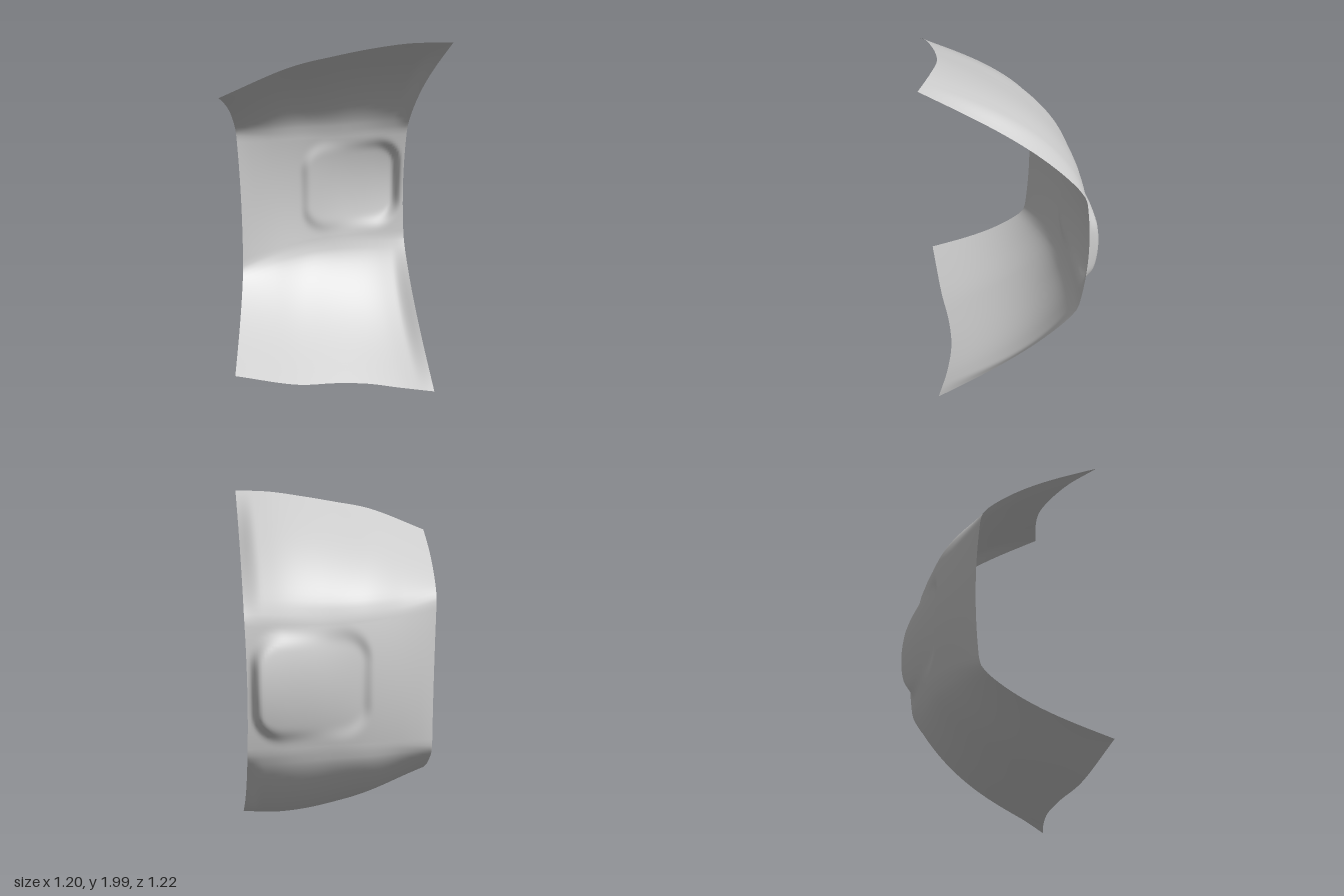
import * as THREE from 'three';
import { ParametricGeometry } from 'three/addons/geometries/ParametricGeometry.js';

const { smoothstep, clamp } = THREE.MathUtils;
const curve = (...pts) => new THREE.CatmullRomCurve3(pts.map((p) => new THREE.Vector3(...p)));

// Cross-sections of the upper half, each running from the -x end to the +x end
const MID_Y = 1.005;
const middle = curve([-0.6, MID_Y, -0.015], [-0.54, MID_Y, -0.085], [-0.33, MID_Y, -0.28],
  [-0.1, MID_Y, -0.42], [0.09, MID_Y, -0.505], [0.27, MID_Y, -0.575]);
const fold = curve([-0.6, 1.43, 0.01], [-0.45, 1.39, -0.13], [-0.27, 1.37, -0.28],
  [-0.08, 1.36, -0.385], [0.1, 1.365, -0.475], [0.29, 1.375, -0.545]);
const rim = curve([-0.44, 1.77, 0.615], [-0.14, 1.895, 0.44], [0.05, 1.935, 0.32],
  [0.22, 1.965, 0.24], [0.4, 1.99, 0.2], [0.6, 1.998, 0.18]);

const FOLD_AT = 0.4; // share of the half height taken by the centre panel

// Outward offset of the rounded pad: sunk at its -x end, raised and domed at its +x end
function padDepth(x, y) {
  const r = 0.16;
  const dy = y - 1.01;
  const qx = Math.abs(x + 0.03) - 0.29 + r;
  const qy = Math.abs(dy) - 0.29 + r;
  const d = Math.hypot(Math.max(qx, 0), Math.max(qy, 0)) + Math.min(Math.max(qx, qy), 0) - r;
  const tilt = clamp((x + 0.31) / 0.5, 0, 1);
  const dome = Math.max(0, 1 - (dy / 0.29) ** 2);
  return (1 - smoothstep(d, -0.06, 0)) * (-0.03 + tilt * (0.055 + 0.035 * dome));
}

// Point on the shell: t runs along the sections, w from lower rim (-1) to upper rim (1)
function shellPoint(t, w) {
  const a = Math.abs(w);
  const f = fold.getPointAt(t);
  let p;
  if (a <= FOLD_AT) {
    const u = a / FOLD_AT;
    p = middle.getPointAt(t);
    p.set(p.x + (f.x - p.x) * u * u, p.y + (f.y - p.y) * u, p.z + (f.z - p.z) * u * u);
  } else {
    // flaps arch upward, steepest by the fold, and curl down at both ends
    const s = (a - FOLD_AT) / (1 - FOLD_AT);
    const arch = 0.045 + 0.045 * smoothstep(t, -0.1, 0.4) + 0.03 * smoothstep(t, 0.4, 0.85)
      - 0.065 * smoothstep(t, 0.92, 1.03);
    const push = 0.025 * Math.sin(Math.PI * t) * Math.sin(Math.PI * Math.sqrt(s));
    p = f.lerp(rim.getPointAt(t), s);
    p.y += arch * Math.sin(Math.PI * s ** 0.7);
    p.x -= 0.5 * push;
    p.z -= push;
  }
  if (w < 0) p.y = 2 * MID_Y - p.y;
  if (a <= FOLD_AT) {
    const d = padDepth(p.x, p.y);
    p.z -= d;
    p.x -= 0.2 * d;
  }
  return p;
}

export function createModel() {
  const group = new THREE.Group();
  group.name = 'curvedShell';

  // One smooth sheet; neighbouring samples are averaged to round off the folds
  const sheet = (u, v, target) => {
    const t = clamp(1 - u, 0, 1);
    const w = clamp(v * 2 - 1, -1, 1);
    const r = Math.min(0.03, 1 - Math.abs(w));
    target.copy(shellPoint(t, w)).multiplyScalar(2)
      .add(shellPoint(t, w - r)).add(shellPoint(t, w + r)).multiplyScalar(0.25);
  };
  const geometry = new ParametricGeometry(sheet, 72, 110);
  geometry.computeVertexNormals();

  const shell = new THREE.Mesh(geometry, new THREE.MeshStandardMaterial({
    color: 0xcccccc, side: THREE.DoubleSide,
  }));
  shell.name = 'foldedPanelWithPad';
  group.add(shell);
  return group;
}
